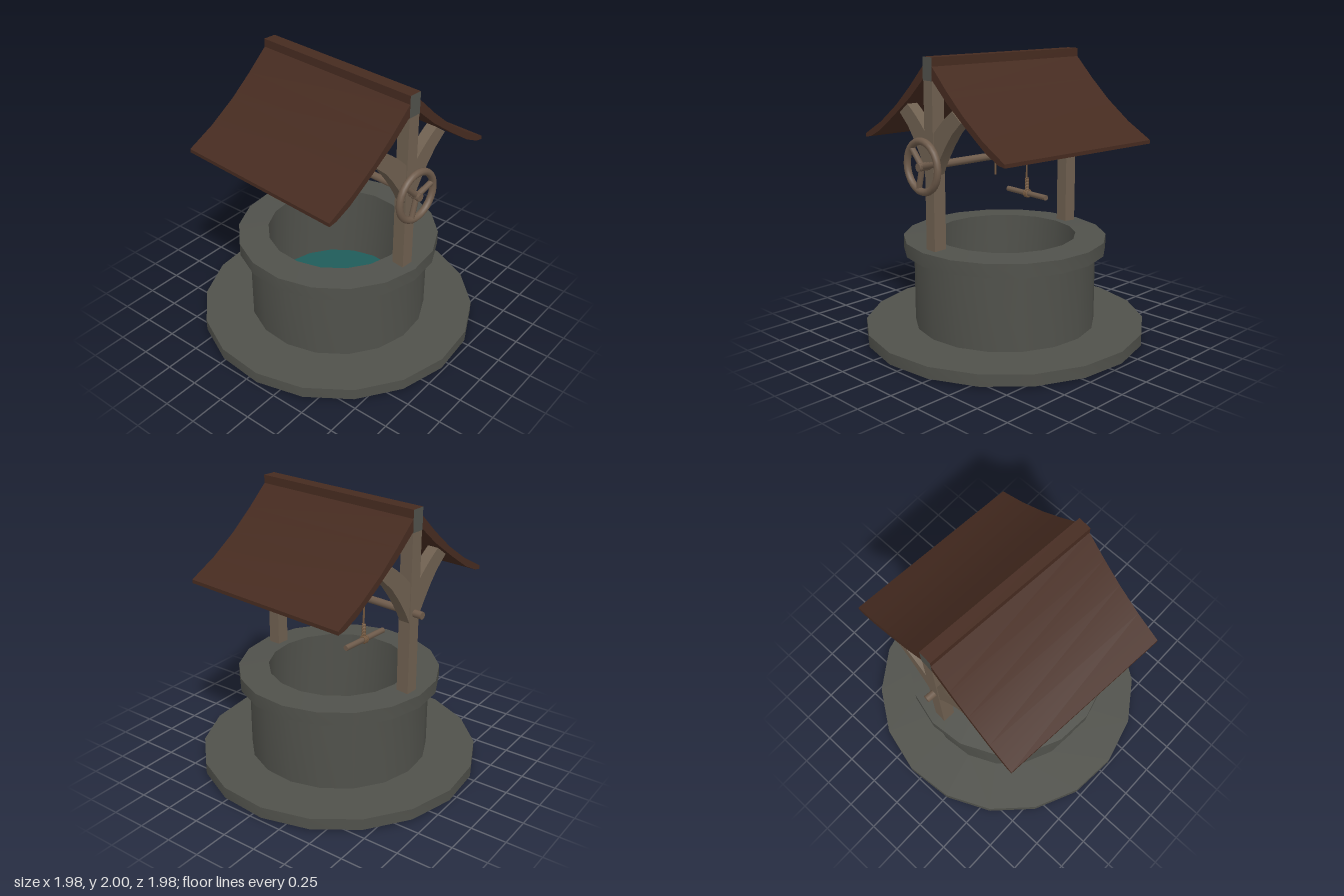
import * as THREE from 'three';
import { toCreasedNormals } from 'three/addons/utils/BufferGeometryUtils.js';

const mat = (name, color, side = THREE.FrontSide) => {
  const m = new THREE.MeshStandardMaterial({ color, side });
  m.name = name;
  return m;
};

export function createModel() {
  const stone = mat('stone', 0x50514b, THREE.DoubleSide);
  const roofWood = mat('roof wood', 0x462b20);
  const postWood = mat('post wood', 0x6f6050);
  const axleWood = mat('axle wood', 0x6e5b4b);
  const ropeFibre = mat('rope fibre', 0x755a41);
  const water = mat('water', 0x1f5c5a, THREE.DoubleSide);

  const well = new THREE.Group();
  well.name = 'well';
  well.rotation.y = -0.085; // the whole well is turned slightly

  const add = (name, geometry, material, x = 0, y = 0, z = 0, parent = well) => {
    const mesh = new THREE.Mesh(geometry, material);
    mesh.name = name;
    mesh.position.set(x, y, z);
    parent.add(mesh);
    return mesh;
  };

  // 18-sided turned stone, with a corner on the x axis
  const turned = (points) => toCreasedNormals(
    new THREE.LatheGeometry(points.map(([r, y]) => new THREE.Vector2(r, y)), 18, Math.PI / 2), 0.6);

  // side profile in (z, y), extruded along x about x = 0
  const profile = (points, width, sign) => {
    const shape = new THREE.Shape(points.map(([z, y]) => new THREE.Vector2(z * sign, y)));
    const g = new THREE.ExtrudeGeometry(shape, { depth: width, bevelEnabled: false });
    g.translate(0, 0, -width / 2);
    g.rotateY(-Math.PI / 2);
    return toCreasedNormals(g, 0.5);
  };

  // rod along a given axis
  const rod = (radius, length, axis, sides = 10) => {
    const g = new THREE.CylinderGeometry(radius, radius, length, sides);
    if (axis === 'x') g.rotateZ(Math.PI / 2);
    if (axis === 'z') g.rotateX(Math.PI / 2);
    return g;
  };

  // upright or lengthwise rope helix
  const helix = (radius, length, turns, tube, axis) => {
    const points = [];
    for (let i = 0; i <= turns * 10; i++) {
      const a = i * Math.PI / 5, t = (i / (turns * 10) - 0.5) * length;
      const c = radius * Math.cos(a), s = radius * Math.sin(a);
      points.push(axis === 'x' ? new THREE.Vector3(t, c, s) : new THREE.Vector3(c, t, s));
    }
    return new THREE.TubeGeometry(new THREE.CatmullRomCurve3(points), turns * 14, tube, 6);
  };

  // stonework, the base plate hollowed slightly underneath
  add('basePlate', turned([[0.642, 0.085], [0.995, 0.018], [0.995, 0.1], [0.642, 0.1]]), stone);
  add('outerWall', turned([[0.642, 0.1], [0.642, 0.63]]), stone);
  add('rim', turned([[0.5, 0.63], [0.714, 0.63], [0.714, 0.725], [0.5, 0.735]]), stone);
  add('innerShaft', turned([[0, 0], [0.5, 0], [0.5, 0.735]]), stone);
  add('waterSurface', new THREE.CircleGeometry(0.5, 18).rotateX(-Math.PI / 2), water, -0.03, 0.18, -0.025);

  // posts with a pair of curved braces each
  const brace = [
    [0.04, 1.23], [0.075, 1.3], [0.118, 1.37], [0.172, 1.45], [0.24, 1.535], [0.33, 1.615],
    [0.24, 1.68], [0.19, 1.645], [0.14, 1.605], [0.09, 1.56], [0.04, 1.51],
  ];
  for (const side of [-1, 1]) {
    add(side > 0 ? 'leftPost' : 'rightPost', new THREE.BoxGeometry(0.092, 1.15, 0.092), postWood, side * 0.6, 1.275, 0);
    for (const s of [-1, 1]) {
      add(s > 0 ? 'frontBrace' : 'backBrace', profile(brace, 0.08, s), postWood, side * 0.6, 0, 0);
    }
  }

  // roof slopes, easing out towards the eaves
  const slope = [
    [0.045, 1.945], [0.2, 1.798], [0.36, 1.662], [0.55, 1.53], [0.748, 1.423],
    [0.748, 1.398], [0.69, 1.408], [0.575, 1.462], [0.4, 1.58], [0.2, 1.725], [0.045, 1.86],
  ];
  for (const s of [-1, 1]) add(s > 0 ? 'frontRoof' : 'backRoof', profile(slope, 1.294, s), roofWood);

  // ridge beam with grey ends
  add('ridgeBeam', new THREE.BoxGeometry(1.296, 0.15, 0.096),
    [stone, stone, roofWood, roofWood, roofWood, roofWood], 0, 1.925, 0);

  // windlass axle and hand wheel
  add('axle', rod(0.026, 1.43, 'x'), axleWood, 0.005, 1.3, 0);
  const wheel = new THREE.Group();
  wheel.name = 'handWheel';
  wheel.position.set(0.698, 1.3, 0.005);
  well.add(wheel);
  add('wheelRing', new THREE.TorusGeometry(0.167, 0.025, 10, 28).rotateY(Math.PI / 2), axleWood, 0, 0, 0, wheel);
  add('wheelHub', rod(0.028, 0.06, 'x', 8), axleWood, 0.005, 0, 0, wheel);
  for (let i = 0; i < 3; i++) {
    const spoke = new THREE.CylinderGeometry(0.02, 0.02, 0.165, 8);
    spoke.translate(0, 0.0825, 0);
    spoke.rotateX(-Math.PI * (75 + 120 * i) / 180);
    add('wheelSpoke', spoke, axleWood, 0, 0, 0, wheel);
  }

  // wound rope, its loose end and the hanging strand
  add('ropeCoil', helix(0.03, 0.32, 20, 0.008, 'x'), ropeFibre, -0.055, 1.3, 0);
  add('ropeLooseEnd', rod(0.007, 0.12, 'y', 6), ropeFibre, 0.107, 1.235, -0.025);
  add('ropeStrand', rod(0.007, 0.3, 'y', 6), ropeFibre, -0.215, 1.15, 0.01);
  add('ropeKnot', helix(0.01, 0.1, 9, 0.006, 'y'), ropeFibre, -0.218, 1.05, 0.01);

  // cross bar on the rope
  add('hangingBar', rod(0.02, 0.4, 'z'), axleWood, -0.222, 0.985, 0.015);
  for (const dz of [-0.012, 0, 0.012]) {
    add('ropeWrap', new THREE.TorusGeometry(0.023, 0.008, 6, 14), ropeFibre, -0.222, 0.985, 0.01 + dz);
  }

  const model = new THREE.Group();
  model.name = 'wishingWell';
  model.add(well);
  return model;
}
